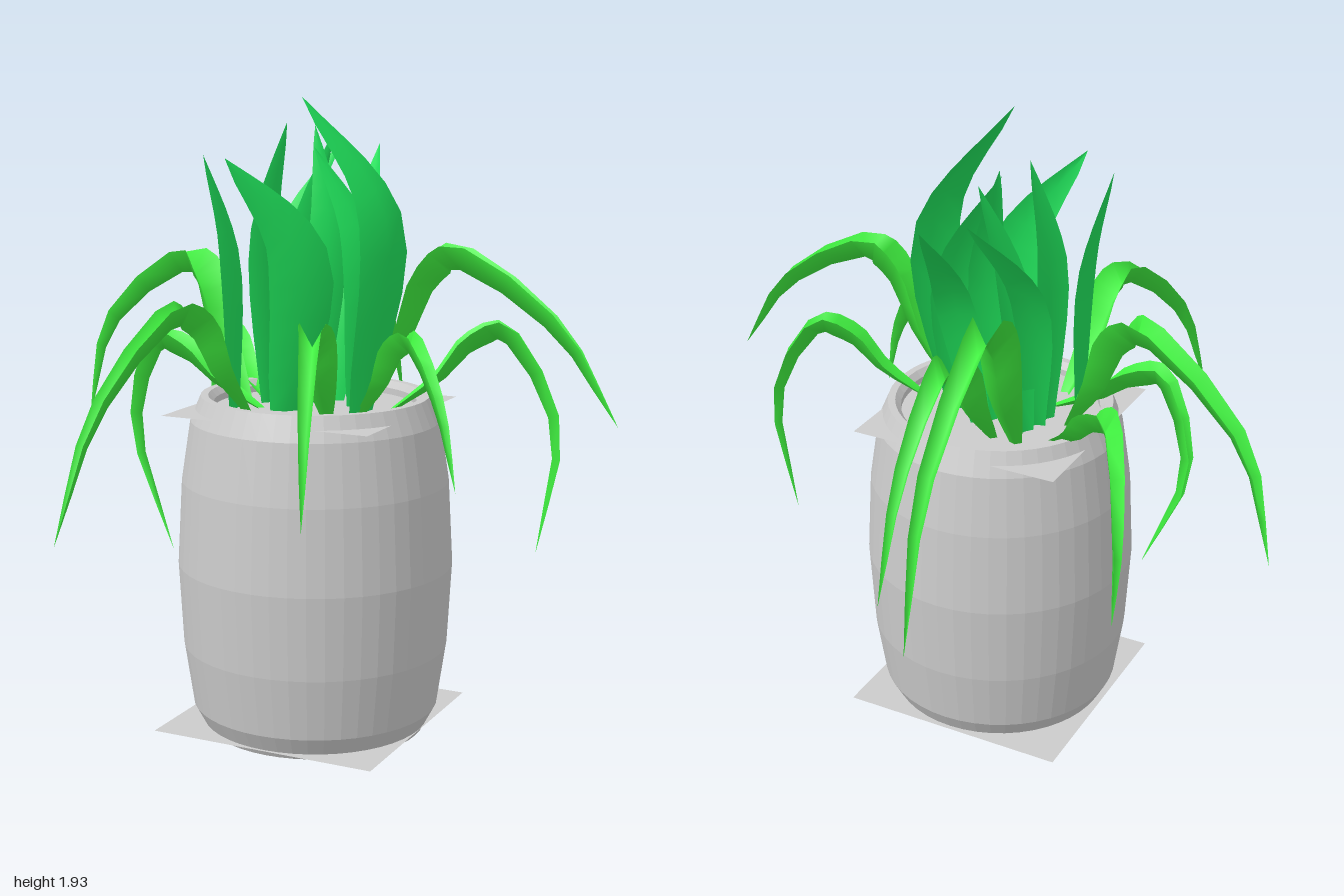
import * as THREE from 'three';

const potMat = new THREE.MeshStandardMaterial({ color: 0xcccccc, flatShading: true, side: THREE.DoubleSide });
const archMat = new THREE.MeshStandardMaterial({ color: 0x3ff03f, side: THREE.DoubleSide });
const uprightMat = new THREE.MeshStandardMaterial({ color: 0x1fe05a, side: THREE.DoubleSide });

const vec = (x, y, z) => new THREE.Vector3(x, y, z);

// Point between a and b: h is the horizontal share, v the vertical share
const between = (a, b, h, v) => vec(a.x + (b.x - a.x) * h, a.y + (b.y - a.y) * v, a.z + (b.z - a.z) * h);

// Ribbon leaf: its edges follow the spine and the crease sinks below it by the fold angle
function leafGeometry(points, width, yaw, rows, profile, fold) {
  const curve = new THREE.CatmullRomCurve3(points, false, 'centripetal');
  const pos = [], index = [];
  for (let i = 0; i <= rows; i++) {
    const t = i / rows;
    const c = curve.getPoint(t);
    const tangent = curve.getTangent(t);
    const side = vec(Math.cos(yaw), 0, -Math.sin(yaw));
    side.addScaledVector(tangent, -side.dot(tangent)).normalize();
    const normal = vec(0, 0, 0).crossVectors(tangent, side).normalize();
    const h = width * 0.5 * profile(t);
    for (const s of [-1, 0, 1]) {
      const p = c.clone().addScaledVector(side, s * h * Math.cos(fold(t)));
      p.addScaledVector(normal, (Math.abs(s) - 1) * h * Math.sin(fold(t)));
      pos.push(p.x, p.y, p.z);
    }
    if (i < rows) for (let k = 0; k < 2; k++) {
      const a = i * 3 + k, b = a + 1, d = a + 3, e = a + 4;
      index.push(a, b, e, a, e, d);
    }
  }
  const g = new THREE.BufferGeometry();
  g.setAttribute('position', new THREE.Float32BufferAttribute(pos, 3));
  g.setIndex(index);
  g.computeVertexNormals();
  return g;
}

// Width along a leaf: grows from the base to its widest place, then tapers to a point
const taper = (start, widest, power) => t => t < widest
  ? start + (1 - start) * Math.sin((t / widest) * Math.PI / 2)
  : Math.pow(1 - (t - widest) / (1 - widest), power);

export function createModel() {
  const root = new THREE.Group();
  const add = (geo, mat, name, parent = root) => {
    const m = new THREE.Mesh(geo, mat);
    m.name = name;
    parent.add(m);
    return m;
  };
  const addGroup = name => {
    const g = new THREE.Group();
    g.name = name;
    root.add(g);
    return g;
  };

  // Barrel-shaped pot with a rim and an open foot ring
  const profile = [
    [0.30, 0.03], [0.30, 0], [0.34, 0], [0.38, 0.075], [0.408, 0.265], [0.422, 0.52],
    [0.408, 0.78], [0.38, 0.965], [0.348, 1.04], [0.325, 1.04], [0.308, 1.02], [0.308, 0.98],
  ].map(([r, y]) => new THREE.Vector2(r, y));
  add(new THREE.LatheGeometry(profile, 48), potMat, 'pot').position.set(0.01, 0, 0.053);

  // Square sheets for soil and base
  for (const [name, size, y] of [['soil', 0.67, 1.0], ['base', 0.725, 0.02]]) {
    const sheet = add(new THREE.PlaneGeometry(size, size).rotateX(-Math.PI / 2), potMat, name);
    sheet.position.set(0, y, 0.05);
  }

  // Outer leaves arching over the rim: width, droop reach, base x z, crest x y z, tip x y z
  const arching = addGroup('archingLeaves');
  const arches = [
    [0.2, 0.78, -0.22, 0.06, -0.48, 1.45, -0.06, -0.96, 0.84, -0.18],
    [0.2, 0.67, 0.16, 0.07, 0.42, 1.51, 0.01, 0.96, 1.02, 0.06],
    [0.14, 1.6, 0.24, 0.02, 0.55, 1.27, -0.12, 0.66, 0.57, -0.13],
    [0.15, 0.67, 0.19, 0.11, 0.37, 1.27, 0.18, 0.58, 0.85, 0.33],
    [0.18, 0.65, 0.12, 0.2, 0.17, 1.31, 0.4, 0.29, 0.79, 0.71],
    [0.18, 0.68, -0.12, 0.24, -0.2, 1.36, 0.5, -0.31, 0.75, 0.99],
    [0.15, -2.2, -0.12, 0.15, -0.49, 1.21, 0.14, -0.44, 0.52, 0.15],
    [0.16, 1.35, -0.22, -0.05, -0.47, 1.21, -0.21, -0.56, 0.61, -0.35],
    [0.2, 0.75, -0.13, -0.12, -0.22, 1.56, -0.48, -0.25, 0.81, -1.0],
    [0.18, 0.65, -0.05, -0.12, -0.1, 1.42, -0.5, -0.1, 0.85, -0.88],
  ];
  const archWidth = taper(0.22, 0.5, 0.8);
  const archFold = t => 0.5 + 0.6 * Math.min(1, t / 0.6);
  for (const [width, reach, bx, bz, cx, cy, cz, tx, ty, tz] of arches) {
    const base = vec(bx, 1, bz), crest = vec(cx, cy, cz), tip = vec(tx, ty, tz);
    const spine = [base, between(base, crest, 0.4, 0.42), between(base, crest, 0.65, 0.84),
      crest, between(crest, tip, reach, 0.42), tip];
    // The width runs level, across the direction the leaf reaches
    const yaw = Math.atan2(cx - bx, cz - bz);
    add(leafGeometry(spine, width, yaw, 14, archWidth, archFold), archMat, 'archingLeaf', arching);
  }

  // Inner standing blades: width, yaw (0 is broad across x), base x z, middle x z, tip x y z
  const upright = addGroup('uprightLeaves');
  const blades = [
    [0.2, 1.2, 0.17, 0.07, 0.23, 0.07, 0.03, 1.93, 0.18],
    [0.2, 0.65, -0.04, 0.15, 0.03, 0.21, -0.12, 1.76, 0.37],
    [0.11, 1.45, -0.2, 0.18, -0.22, 0.17, -0.27, 1.76, 0.23],
    [0.13, 1.2, -0.15, 0.05, -0.17, 0.03, -0.12, 1.85, -0.02],
    [0.13, 0.8, -0.02, -0.01, 0, -0.05, -0.07, 1.84, -0.11],
    [0.11, 1.0, -0.13, -0.05, -0.11, -0.11, -0.05, 1.82, -0.2],
    [0.12, 0.4, 0.02, -0.06, 0.04, -0.2, -0.02, 1.77, -0.48],
    [0.11, 0.5, -0.14, 0, -0.18, -0.15, -0.12, 1.78, -0.4],
    [0.15, 1.0, 0.12, -0.01, 0.12, -0.03, -0.02, 1.78, 0],
  ];
  const bladeWidth = taper(0.5, 0.45, 0.85);
  for (const [width, yaw, bx, bz, mx, mz, tx, ty, tz] of blades) {
    const spine = [vec(bx, 1, bz), vec(mx, 1 + (ty - 1) * 0.62, mz), vec(tx, ty, tz)];
    add(leafGeometry(spine, width, yaw, 10, bladeWidth, () => 0.25), uprightMat, 'uprightLeaf', upright);
  }
  return root;
}
